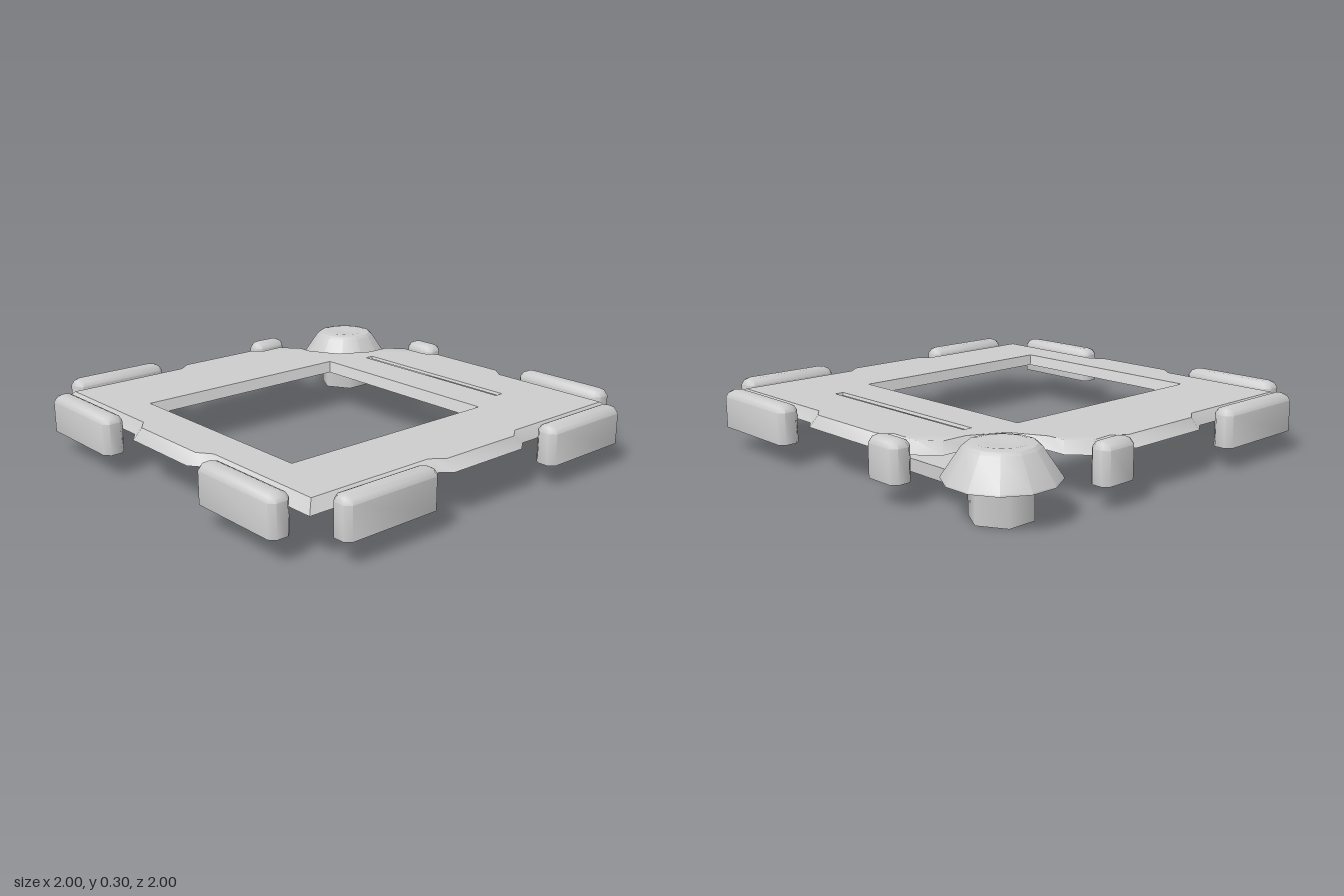
import * as THREE from 'three';
import { mergeGeometries, toCreasedNormals } from 'three/addons/utils/BufferGeometryUtils.js';

// All parts are open, moulded shells
const material = new THREE.MeshStandardMaterial({ color: 0xcccccc, side: THREE.DoubleSide });

function addMesh(parent, name, geometry) {
  const mesh = new THREE.Mesh(geometry, material);
  mesh.name = name;
  parent.add(mesh);
  return mesh;
}

// Walls between stacked loops of [x, z] points, each loop at its own height
function walls(loops, heights) {
  const pos = [];
  for (let k = 0; k + 1 < loops.length; k++) {
    const n = loops[k].length;
    for (let i = 0; i < n; i++) {
      const j = (i + 1) % n;
      const at = (l, m) => [loops[l][m][0], heights[l], loops[l][m][1]];
      const a = at(k, i), b = at(k, j), c = at(k + 1, j), d = at(k + 1, i);
      pos.push(...a, ...d, ...c, ...a, ...c, ...b);
    }
  }
  const g = new THREE.BufferGeometry();
  g.setAttribute('position', new THREE.Float32BufferAttribute(pos, 3));
  g.computeVertexNormals();
  return g;
}

// Flat upward face with optional holes
function face(loop, holes, y) {
  const pts = l => l.map(([x, z]) => new THREE.Vector2(x, -z));
  const shape = new THREE.Shape(pts(loop));
  shape.holes = holes.map(h => new THREE.Path(pts(h)));
  const g = new THREE.ShapeGeometry(shape).rotateX(-Math.PI / 2).translate(0, y, 0).toNonIndexed();
  g.deleteAttribute('uv');
  return g;
}

// Walls and top face as one shell, smooth where the angle is small
const shell = (loops, heights, holes, crease) => toCreasedNormals(
  mergeGeometries([walls(loops, heights), face(loops.at(-1), holes, heights.at(-1))]), crease);

const rect = (x0, x1, z0, z1) => [[x0, z0], [x1, z0], [x1, z1], [x0, z1]];

// Board outline at its foot (e = 0) and at its top (e = bevel inset)
function boardLoop(e) {
  const s = 0.9 - e, t = 0.945 - e;
  const notch = e > 0
    ? [[0.36, -0.86], [0.44, -0.78], [0.44, -0.7], [0.52, -0.55], [0.67, -0.475], [0.785, -0.475], [0.855, -0.4]]
    : [[0.4, -0.9], [0.475, -0.82], [0.475, -0.725], [0.547, -0.575], [0.69, -0.508], [0.82, -0.51], [0.9, -0.42]];
  return [
    [-s, -s], [-0.26, -s], [-0.2, -t], [0.2, -t], [0.26, -s], ...notch,
    [s, -0.26], [t, -0.2], [t, 0.2], [s, 0.26],
    [s, s], [0.26, s], [0.2, t], [-0.2, t], [-0.26, s],
    [-s, s], [-s, 0.26], [-t, 0.2], [-t, -0.2], [-s, -0.26],
  ];
}

function createBoard() {
  const board = new THREE.Group();
  board.name = 'board';
  const yTop = 0.245;
  const windowTop = rect(-0.69, 0.385, -0.468, 0.543), windowFoot = rect(-0.668, 0.363, -0.444, 0.524);
  const slotTop = rect(0.575, 0.617, -0.4, 0.48), slotFoot = rect(0.582, 0.611, -0.395, 0.475);
  addMesh(board, 'boardShell',
    shell([boardLoop(0), boardLoop(0.045)], [0.2, yTop], [windowTop, slotTop], 0.75));

  // Lips around the window and the slot
  const lip = (name, foot, top, drop) => addMesh(board, name,
    walls([[...foot].reverse(), [...top].reverse()], [yTop - drop, yTop]));
  lip('windowLip', windowFoot, windowTop, 0.048);
  lip('slotLip', slotFoot, slotTop, 0.012);
  return board;
}

// Bumper: a bar with cut corners, a bevelled top and an open foot
function createBumper(x0, x1, z0, z1) {
  const ring = (e, c) => {
    const a = x0 + e, b = x1 - e, f = z0 + e, g = z1 - e;
    return [[a + c, f], [b - c, f], [b, f + c], [b, g - c],
      [b - c, g], [a + c, g], [a, g - c], [a, f + c]];
  };
  const foot = ring(0, 0.024);
  return shell([foot, foot, ring(0.01, 0.022), ring(0.03, 0.013)],
    [0.1, 0.24, 0.26, 0.27], [], 0.85);
}

// Knob with a six-sided stem, a twelve-sided cap and an arm under the board
function createKnob() {
  const knob = new THREE.Group();
  knob.name = 'knob';
  const stem = new THREE.CylinderGeometry(0.13, 0.13, 0.2, 6, 1, true, Math.PI / 2);
  addMesh(knob, 'knobStem', stem).position.set(0.75, 0.1, -0.76);

  const profile = [[0.23, 0.155], [0.228, 0.162], [0.15, 0.278], [0.135, 0.29], [0.105, 0.296], [0.06, 0.291], [0, 0.288]]
    .map(p => new THREE.Vector2(...p));
  const cap = new THREE.LatheGeometry(profile, 12, Math.PI / 12);
  addMesh(knob, 'knobCap', toCreasedNormals(cap, 0.45)).position.set(0.75, 0, -0.765);

  // Hollow arm, open below
  const arm = rect(0.612, 0.83, -0.68, -0.18);
  addMesh(knob, 'knobArm', shell([arm, arm], [0.1, 0.155], [], 0.5));
  return knob;
}

export function createModel() {
  const model = new THREE.Group();
  model.name = 'framedBoard';
  model.add(createBoard(), createKnob());

  // Long bumpers, two on each whole side
  const near = 0.335, far = 0.81;
  const bumper = (...box) => addMesh(model, 'bumper', createBumper(...box));
  for (const s of [-1, 1]) {
    const a = s < 0 ? -far : near, b = s < 0 ? -near : far;
    bumper(a, b, 0.9, 1);
    bumper(-1, -0.9, a, b);
  }
  bumper(0.9, 1, near, far);
  bumper(-far, -near, -1, -0.905);

  // Short bumpers beside the knob
  bumper(0.9, 1, -0.44, -0.26);
  bumper(0.26, 0.44, -1, -0.905);
  return model;
}
